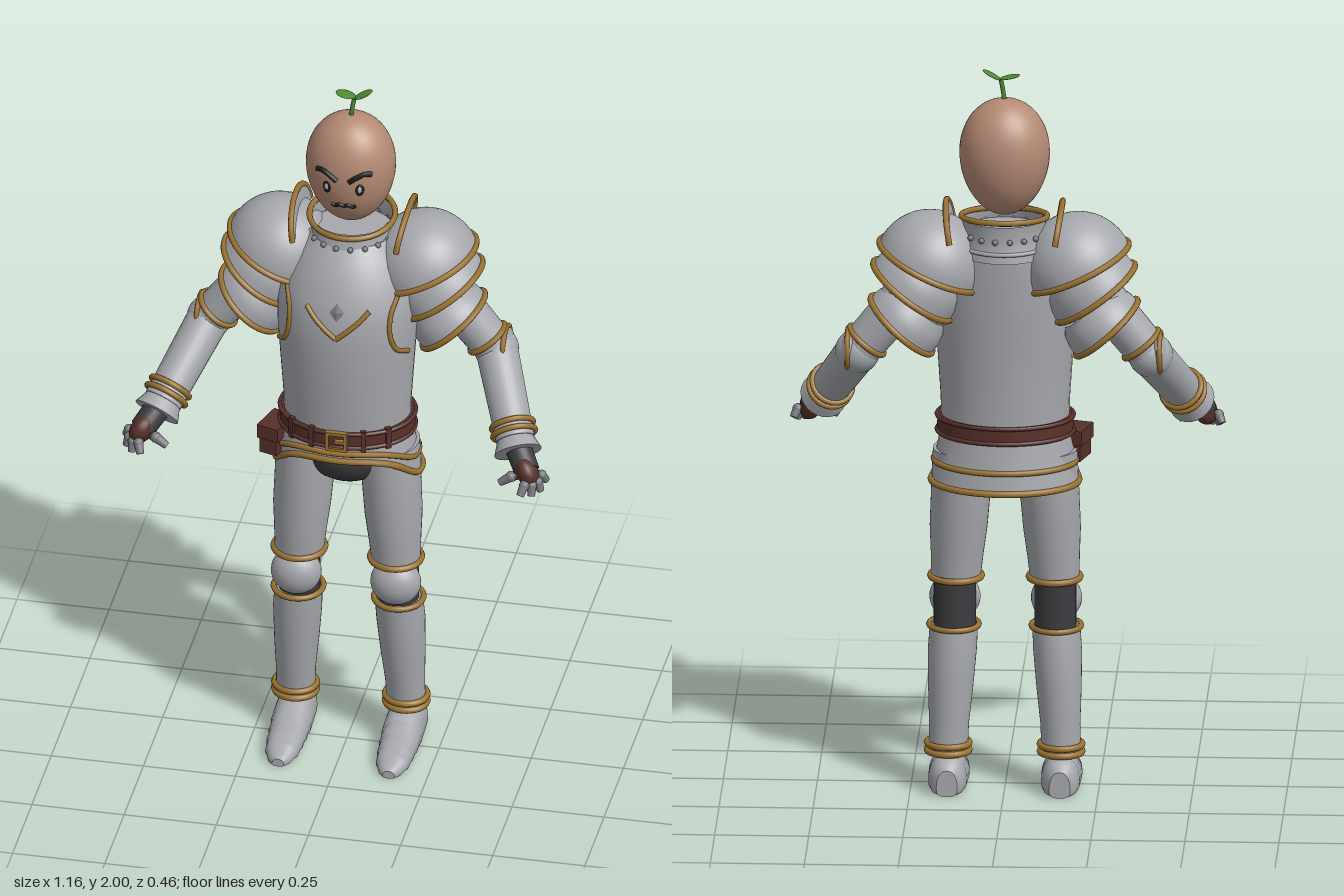
import * as THREE from 'three';

const mat = (name, color, side = THREE.FrontSide) => {
  const m = new THREE.MeshStandardMaterial({ color, side });
  m.name = name;
  return m;
};
const steel = mat('steel', 0xa6a8ad, THREE.DoubleSide);
const gold = mat('gold trim', 0x9a7230);
const skin = mat('skin', 0xb48a74);
const leather = mat('leather', 0x57302a);
const dark = mat('dark cloth', 0x3c3c40);
const black = mat('black', 0x1c1a1a);
const leafGreen = mat('leaf green', 0x4f8c30, THREE.DoubleSide);
const fingerSteel = mat('finger steel', 0x77797f);
const eyeGrey = mat('eye grey', 0xb9b4ac);

const V = (x, y, z) => new THREE.Vector3(x, y, z);
const TAU = Math.PI * 2;
const N = 40;

function add(parent, name, geometry, material, pos = [0, 0, 0], rot = [0, 0, 0], scale = [1, 1, 1]) {
  const m = new THREE.Mesh(geometry, material);
  m.name = name;
  m.position.set(...pos);
  m.rotation.set(...rot);
  m.scale.set(...scale);
  parent.add(m);
  return m;
}

// Skin over a stack of closed rings, with optional end caps
function loft(rings, caps = true) {
  const n = rings[0].length, pos = [], idx = [];
  rings.flat().forEach(p => pos.push(p.x, p.y, p.z));
  for (let i = 0; i < rings.length - 1; i++)
    for (let j = 0; j < n; j++) {
      const a = i * n + j, b = i * n + (j + 1) % n, c = a + n, d = b + n;
      idx.push(a, c, b, b, c, d);
    }
  if (caps) [rings[0], rings[rings.length - 1]].forEach((ring, end) => {
    const base = pos.length / 3;
    const mid = ring.reduce((s, p) => s.add(p), V(0, 0, 0)).divideScalar(n);
    [...ring, mid].forEach(p => pos.push(p.x, p.y, p.z));
    for (let j = 0; j < n; j++) {
      const a = base + j, b = base + (j + 1) % n;
      idx.push(base + n, end ? b : a, end ? a : b);
    }
  });
  const g = new THREE.BufferGeometry();
  g.setAttribute('position', new THREE.Float32BufferAttribute(pos, 3));
  g.setIndex(idx);
  g.computeVertexNormals();
  return g;
}

// Horizontal ellipse; y may be a function of the angle
const ellipse = (cx, y, cz, rx, rz) => Array.from({ length: N }, (_, i) => {
  const t = i / N * TAU;
  return V(cx + rx * Math.cos(t), typeof y === 'function' ? y(t) : y, cz + rz * Math.sin(t));
});
const column = (rows, caps = true) => loft(rows.map(([y, cx, cz, rx, rz]) => ellipse(cx, y, cz, rx, rz)), caps);

function trim(parent, name, points, r = 0.009, closed = true, material = gold) {
  const curve = new THREE.CatmullRomCurve3(points, closed);
  return add(parent, name, new THREE.TubeGeometry(curve, closed ? 56 : 24, r, 8, closed), material);
}

// Tapered rod between two points
function limb(parent, name, a, b, ra, rb, material) {
  const d = b.clone().sub(a);
  const m = add(parent, name, new THREE.CylinderGeometry(rb, ra, d.length(), 24), material);
  m.position.copy(a).addScaledVector(d, 0.5);
  m.quaternion.setFromUnitVectors(V(0, 1, 0), d.normalize());
  return m;
}
// Ring around a rod at fraction t
function limbRing(parent, name, a, b, t, r, tube = 0.008) {
  const m = add(parent, name, new THREE.TorusGeometry(r, tube, 8, 36), gold);
  m.position.lerpVectors(a, b, t);
  m.quaternion.setFromUnitVectors(V(0, 0, 1), b.clone().sub(a).normalize());
}

// Torso rows: y, half width, front z, back z
const torsoRows = [[0.98, 0.17, 0.122, -0.148], [1.08, 0.172, 0.132, -0.15], [1.2, 0.18, 0.142, -0.157],
  [1.3, 0.187, 0.147, -0.164], [1.37, 0.189, 0.143, -0.168], [1.43, 0.182, 0.128, -0.172],
  [1.49, 0.16, 0.1, -0.175], [1.53, 0.136, 0.072, -0.175], [1.56, 0.112, 0.045, -0.165]];
function torsoZ(x, y) {
  const i = Math.max(1, torsoRows.findIndex(r => r[0] >= y)), a = torsoRows[i - 1], b = torsoRows[i];
  const [, rx, f, k] = a.map((v, j) => v + (b[j] - v) * (y - a[0]) / (b[0] - a[0]));
  return (f + k) / 2 + (f - k) / 2 * Math.sqrt(Math.max(0, 1 - (x / rx) ** 2));
}

function buildTorso(root) {
  add(root, 'breastplate', column(torsoRows.map(([y, rx, f, k]) => [y, 0, (f + k) / 2, rx, (f - k) / 2])), steel);
  const onChest = (pts, s = 1) => pts.map(([x, y]) => V(x * s, y, torsoZ(x, y) + 0.002));
  for (const s of [-1, 1]) {
    trim(root, 'armholeTrim', onChest([[0.15, 1.44], [0.137, 1.39], [0.138, 1.33], [0.152, 1.285], [0.175, 1.26]], s), 0.007, false);
    trim(root, 'chevron', onChest([[0, 1.335], [0.03, 1.36], [0.06, 1.387], [0.085, 1.415]], s), 0.007, false);
  }
  add(root, 'chestStud', new THREE.OctahedronGeometry(0.02), fingerSteel, [0, 1.41, torsoZ(0, 1.41)], [-0.25, 0, 0], [1, 1.3, 0.25]);
  // Collar with rivets
  add(root, 'collar', column([[1.5, 0, -0.062, 0.125, 0.128], [1.535, 0, -0.062, 0.12, 0.122],
    [1.56, 0, -0.065, 0.108, 0.112], [1.6, 0, -0.07, 0.113, 0.112]], false), steel);
  trim(root, 'collarTrim', ellipse(0, t => 1.6 - 0.012 * Math.sin(t), -0.07, 0.114, 0.113), 0.008);
  trim(root, 'collarBand', ellipse(0, 1.525, -0.062, 0.122, 0.125), 0.006, true, steel);
  const rivet = new THREE.SphereGeometry(0.008, 10, 8);
  for (let i = 0; i < 18; i++) {
    const t = i / 18 * TAU;
    add(root, 'collarRivet', rivet, fingerSteel, [0.113 * Math.cos(t), 1.558, -0.065 + 0.117 * Math.sin(t)]);
  }
}

function buildWaist(root) {
  // Skirt plates rise to an arch at the front
  const edge = (low, high) => t => low + (high - low) * THREE.MathUtils.smoothstep(Math.sin(t), 0.1, 1);
  const upper = edge(0.91, 0.965), lower = edge(0.855, 0.937);
  add(root, 'lowerSkirt', loft([ellipse(0, lower, -0.028, 0.196, 0.144), ellipse(0, 0.975, -0.02, 0.172, 0.135)], false), steel);
  add(root, 'upperSkirt', loft([ellipse(0, upper, -0.02, 0.189, 0.145), ellipse(0, 1, -0.015, 0.17, 0.136)], false), steel);
  trim(root, 'lowerSkirtTrim', ellipse(0, lower, -0.028, 0.197, 0.145));
  trim(root, 'upperSkirtTrim', ellipse(0, upper, -0.02, 0.19, 0.146), 0.008);
  add(root, 'pelvis', new THREE.SphereGeometry(1, 28, 20), dark, [0, 0.91, -0.025], [0, 0, 0], [0.125, 0.1, 0.115]);
  // Belt, buckle and pouch
  add(root, 'belt', column([[0.985, 0, -0.012, 0.182, 0.144], [1.035, 0, -0.012, 0.18, 0.143]]), leather);
  for (const y of [0.989, 1.031]) trim(root, 'beltEdge', ellipse(0, y, -0.012, 0.182, 0.144), 0.006, true, leather);
  for (const s of [-1, 1]) {
    add(root, 'buckleBar', new THREE.BoxGeometry(0.055, 0.009, 0.014), gold, [0, 1.01 + s * 0.024, 0.136]);
    add(root, 'buckleSide', new THREE.BoxGeometry(0.009, 0.055, 0.014), gold, [s * 0.025, 1.01, 0.136]);
  }
  add(root, 'buckleTongue', new THREE.BoxGeometry(0.03, 0.008, 0.014), gold, [0.01, 1.01, 0.137]);
  for (const x of [-0.13, -0.07, 0.07, 0.13])
    add(root, 'beltLoop', new THREE.BoxGeometry(0.014, 0.062, 0.012), leather,
      [x, 1.01, -0.012 + 0.144 * Math.sqrt(1 - (x / 0.182) ** 2)], [0, Math.sign(x) * (Math.abs(x) > 0.1 ? 0.6 : 0.25), 0]);
  add(root, 'pouch', new THREE.BoxGeometry(0.05, 0.075, 0.085), leather, [-0.188, 0.94, 0.025], [0, -0.3, 0]);
  add(root, 'pouchFlap', new THREE.BoxGeometry(0.062, 0.04, 0.095), leather, [-0.188, 0.968, 0.025], [0, -0.3, 0]);
}

function buildHead(root) {
  const cy = 1.76, cz = -0.052, rx = 0.12, ry = 0.16, rz = 0.108, egg = 0.08;
  const g = new THREE.SphereGeometry(1, 40, 32), p = g.attributes.position;
  for (let i = 0; i < p.count; i++) {
    const y = p.getY(i), f = 1 + egg * y;
    p.setXYZ(i, p.getX(i) * rx * f, y * ry, p.getZ(i) * rz * f);
  }
  g.computeVertexNormals();
  add(root, 'head', g, skin, [0, cy, cz]);
  const face = (x, y, lift = 0) => {
    const v = (y - cy) / ry, f = 1 + egg * v;
    return V(x, y, cz + lift + rz * f * Math.sqrt(1 - v * v - (x / (rx * f)) ** 2));
  };
  for (const s of [-1, 1]) {
    trim(root, 'brow', [[0.016, 1.773], [0.035, 1.786], [0.055, 1.795], [0.074, 1.793]].map(([x, y]) => face(x * s, y)), 0.0075, false, black);
    add(root, 'eye', new THREE.SphereGeometry(1, 16, 12), black, face(s * 0.045, 1.748).toArray(), [0, s * 0.4, 0], [0.012, 0.018, 0.004]);
    add(root, 'eyeGlint', new THREE.SphereGeometry(1, 12, 8), eyeGrey, face(s * 0.045, 1.75, 0.003).toArray(), [0, s * 0.4, 0], [0.006, 0.01, 0.003]);
    trim(root, 'moustache', [[0, 1.69], [0.012, 1.694], [0.023, 1.688], [0.033, 1.692]].map(([x, y]) => face(x * s, y)), 0.006, false, black);
    // Leaves of the sprout
    add(root, 'leaf', new THREE.SphereGeometry(1, 16, 10), leafGreen, [0.01 + s * 0.024, s > 0 ? 1.985 : 1.98, -0.052],
      [0, 0, s > 0 ? 0.5 : -0.2], [0.028, 0.003, 0.021]);
  }
  trim(root, 'stem', [V(0, 1.91, -0.052), V(0.004, 1.94, -0.05), V(0.01, 1.975, -0.052)], 0.006, false, leafGreen);
}

function buildArm(arm) {
  // Shoulder plates: centre, tilt, rim radius, profile
  const quarter = Array.from({ length: 13 }, (_, i) => [Math.cos(i / 24 * Math.PI), Math.sin(i / 24 * Math.PI)]);
  const skirt = [[1, 0], [0.98, 0.25], [0.9, 0.5], [0.72, 0.72]];
  [[0.198, 1.465, 25, 0.147, quarter], [0.244, 1.392, 36, 0.128, skirt], [0.273, 1.295, 42, 0.11, skirt]].forEach(([x, y, a, r, prof], i) => {
    const g = new THREE.Group();
    g.name = 'shoulderPlate' + (i + 1);
    g.position.set(x, y, -0.08);
    g.rotation.z = a * Math.PI / 180;
    add(g, 'plate', new THREE.LatheGeometry(prof.map(([u, v]) => new THREE.Vector2(Math.max(u * r, 0.0001), v * r)), 44), steel);
    trim(g, 'plateTrim', ellipse(0, 0, 0, r, r), 0.0085);
    arm.add(g);
  });
  // Upright neck guard
  const arc = Array.from({ length: 15 }, (_, i) => V(0.155 - 0.015 * (1 - Math.sin(i / 14 * Math.PI)),
    1.555 + 0.085 * Math.sin(i / 14 * Math.PI), -0.08 + 0.117 * Math.cos(i / 14 * Math.PI)));
  add(arm, 'neckGuard', loft([arc.map(p => p.clone().setX(p.x - 0.004)), arc]), steel);
  trim(arm, 'neckGuardTrim', arc, 0.008, false);

  const shoulder = V(0.235, 1.41, -0.08), elbow = V(0.39, 1.22, -0.078), wrist = V(0.478, 1.055, 0.1);
  limb(arm, 'upperArm', shoulder, elbow, 0.062, 0.056, steel);
  limbRing(arm, 'upperArmTrim', shoulder, elbow, 0.84, 0.058);
  add(arm, 'elbow', new THREE.SphereGeometry(0.06, 24, 18), steel, elbow.toArray());
  add(arm, 'elbowGuard', new THREE.SphereGeometry(1, 24, 16), steel, [0.415, 1.23, -0.083], [0, 0, 0.15], [0.022, 0.055, 0.056]);
  add(arm, 'elbowGuardTrim', new THREE.TorusGeometry(0.054, 0.007, 8, 32), gold, [0.415, 1.23, -0.083], [0, Math.PI / 2, 0.15]);
  limb(arm, 'forearm', elbow, wrist, 0.057, 0.052, steel);
  limbRing(arm, 'forearmTrim', elbow, wrist, 0.84, 0.056);
  limbRing(arm, 'cuffTrim', elbow, wrist, 0.93, 0.057);
  const cuffEnd = V(0.49, 1.032, 0.124);
  limb(arm, 'cuff', wrist, cuffEnd, 0.05, 0.064, steel);

  // Glove with plated fingers
  const palm = V(0.522, 0.998, 0.16);
  limb(arm, 'gloveWrist', wrist, palm, 0.036, 0.034, dark);
  const hand = add(arm, 'palm', new THREE.SphereGeometry(1, 20, 14), leather, palm.toArray());
  hand.scale.set(0.03, 0.045, 0.042);
  hand.rotation.set(-0.6, 0, 0.5);
  [[0.57, 0.965, 0.14], [0.562, 0.952, 0.175], [0.542, 0.948, 0.2], [0.515, 0.955, 0.218], [0.452, 0.965, 0.178]].forEach((t, i) => {
    const tip = V(...t), root = palm.clone().lerp(tip, 0.25), mid = root.clone().lerp(tip, 0.55).add(V(0.006, 0.01, 0.004));
    const [r, name] = i < 4 ? [0.012, 'finger'] : [0.013, 'thumb'];
    limb(arm, name + 'Base', root, mid, r, r, i < 4 ? leather : dark);
    limb(arm, name + 'Tip', mid, tip, r + 0.001, 0.01, fingerSteel);
    add(arm, name + 'Joint', new THREE.SphereGeometry(r + 0.002, 10, 8), fingerSteel, mid.toArray());
  });
}

function buildLeg(leg) {
  add(leg, 'thigh', column([[0.94, 0.112, -0.02, 0.08, 0.09], [0.85, 0.116, -0.018, 0.08, 0.09], [0.72, 0.124, -0.012, 0.077, 0.082],
    [0.64, 0.128, -0.01, 0.07, 0.073], [0.58, 0.131, -0.01, 0.066, 0.067]].reverse()), steel);
  add(leg, 'kneeJoint', new THREE.CylinderGeometry(0.056, 0.056, 0.15, 28), dark, [0.134, 0.515, -0.022]);
  add(leg, 'kneecap', new THREE.SphereGeometry(1, 28, 20), steel, [0.135, 0.515, 0.012], [0, 0, 0], [0.068, 0.066, 0.055]);
  trim(leg, 'thighTrim', ellipse(0.131, 0.58, -0.01, 0.068, 0.069), 0.009);
  trim(leg, 'shinTopTrim', ellipse(0.136, 0.448, -0.022, 0.066, 0.069), 0.008);
  add(leg, 'shin', column([[0.1, 0.15, -0.052, 0.052, 0.05], [0.18, 0.148, -0.046, 0.053, 0.055], [0.28, 0.144, -0.038, 0.06, 0.065],
    [0.38, 0.14, -0.03, 0.065, 0.07], [0.45, 0.136, -0.022, 0.064, 0.067]]), steel);
  for (const y of [0.107, 0.127]) trim(leg, 'ankleTrim', ellipse(0.15, y, -0.051, 0.056, 0.054), 0.009);

  // Foot rings from toe to heel, with stepped plates over the toes
  const footRing = (z, rx, h) => Array.from({ length: 28 }, (_, i) => {
    const t = i / 28 * TAU, s = Math.sin(t), c = Math.cos(t);
    const y = s > 0 ? h * (0.35 + 0.65 * s) : 0.35 * h * (1 - Math.sqrt(-s));
    return V(0.15 + Math.sign(c) * Math.abs(c) ** 0.8 * rx, y, z);
  });
  const rows = [[0.178, 0.016, 0.022], [0.165, 0.03, 0.032], [0.135, 0.041, 0.042], [0.133, 0.044, 0.047], [0.095, 0.046, 0.054],
    [0.093, 0.049, 0.059], [0.055, 0.049, 0.064], [0.053, 0.052, 0.069], [0.015, 0.051, 0.078], [0.013, 0.054, 0.084],
    [-0.03, 0.053, 0.1], [-0.09, 0.051, 0.107], [-0.118, 0.044, 0.09], [-0.134, 0.028, 0.072]];
  add(leg, 'foot', loft(rows.map(r => footRing(...r))), steel);
}

export function createModel() {
  const root = new THREE.Group();
  root.name = 'armouredKnight';
  buildTorso(root);
  buildWaist(root);
  buildHead(root);
  for (const [side, s] of [['left', 1], ['right', -1]])
    for (const [part, build] of [['Arm', buildArm], ['Leg', buildLeg]]) {
      const g = new THREE.Group();
      g.name = side + part;
      g.scale.x = s;
      build(g);
      root.add(g);
    }
  return root;
}
